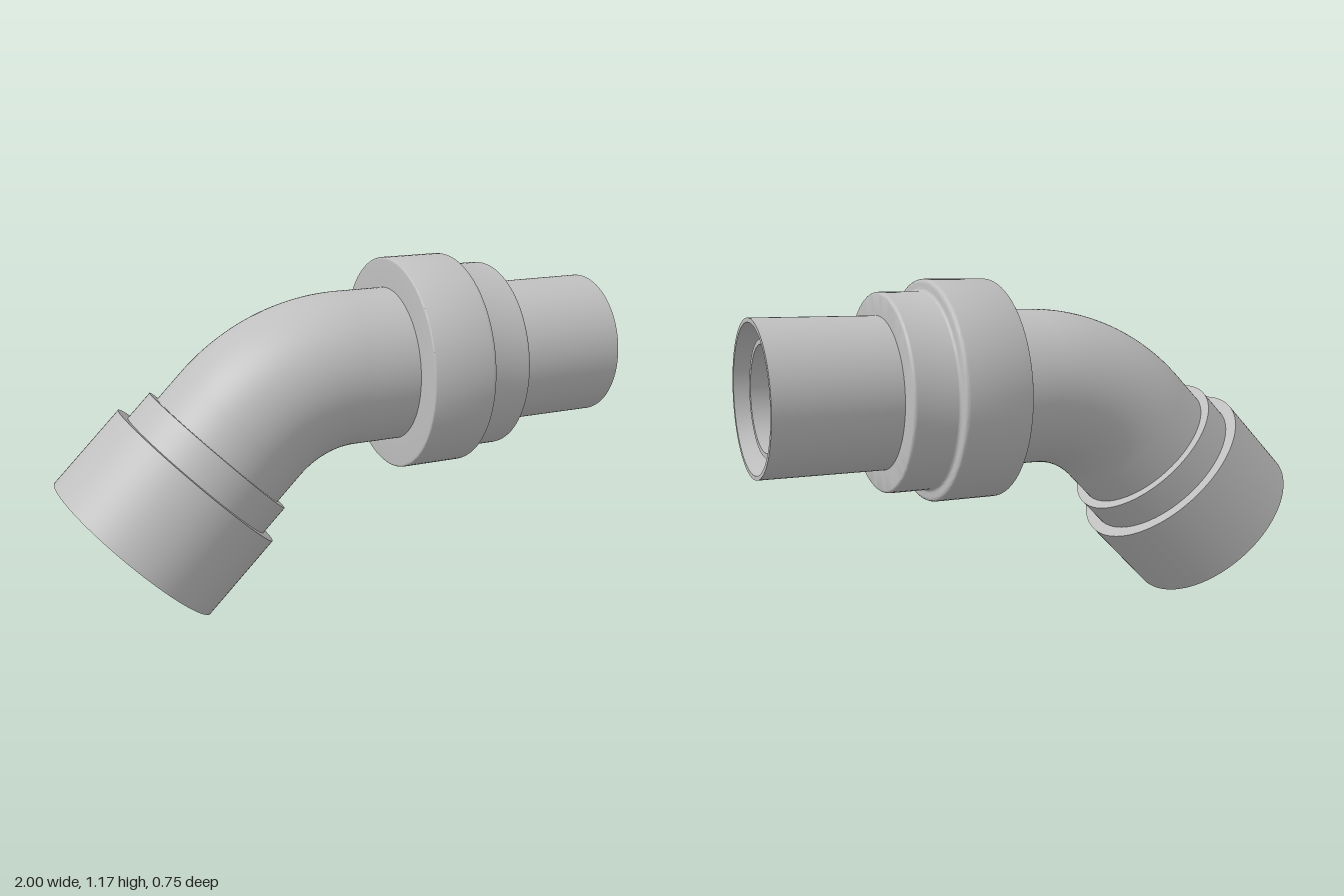
import * as THREE from 'three';
import { toCreasedNormals } from 'three/addons/utils/BufferGeometryUtils.js';

const SEG = 96;
const AXIS_Y = 0.8;      // height of the straight run
const BEND_X = 0.02;     // where the bend begins
const BEND_R = 0.543;    // centreline radius of the bend
const PIPE_R = 0.27;
const BORE_R = 0.173;

// Quarter-round between a and b; the corner is the control point
function round(a, corner, b, steps = 5) {
  const curve = new THREE.QuadraticBezierCurve(
    new THREE.Vector2(...a), new THREE.Vector2(...corner), new THREE.Vector2(...b));
  return curve.getPoints(steps).map((p) => [p.x, p.y]);
}

export function createModel() {
  const model = new THREE.Group();
  const grey = new THREE.MeshStandardMaterial({ color: 0xbfbfbf, side: THREE.DoubleSide });
  grey.name = 'plain grey';

  function add(parent, name, geometry) {
    const mesh = new THREE.Mesh(geometry, grey);
    mesh.name = name;
    parent.add(mesh);
    return mesh;
  }
  // Turned part from [radius, distance along axis] pairs
  function turned(parent, name, profile) {
    const points = profile.map(([r, h]) => new THREE.Vector2(r, h));
    return add(parent, name, toCreasedNormals(new THREE.LatheGeometry(points, SEG), 0.6));
  }

  // Straight run, its axis along +x
  const straight = new THREE.Group();
  straight.name = 'straightRun';
  straight.position.y = AXIS_Y;
  straight.rotation.z = -Math.PI / 2;
  model.add(straight);

  turned(straight, 'straightPipe', [[PIPE_R, BEND_X], [PIPE_R, 0.19]]);

  turned(straight, 'collar', [
    [PIPE_R, 0.19],
    ...round([0.367, 0.19], [0.375, 0.19], [0.375, 0.198]),
    ...round([0.375, 0.408], [0.375, 0.424], [0.359, 0.424]),
    ...round([0.347, 0.424], [0.333, 0.424], [0.333, 0.438]),
    ...round([0.333, 0.568], [0.333, 0.58], [0.321, 0.58]),
    [0.256, 0.58],
  ]);

  // Spigot with a tapered groove in its end and the inner bore
  turned(straight, 'spigot', [
    [0.256, 0.58], [0.256, 1], [0.242, 1], [0.225, 0.92],
    [0.205, 0.92], [0.19, 0.96], [BORE_R, 0.96], [BORE_R, BEND_X],
  ]);

  // 45 degree bend, outside and bore
  for (const [name, r] of [['bend', PIPE_R], ['bendBore', BORE_R]]) {
    const part = add(model, name, new THREE.TorusGeometry(BEND_R, r, SEG, 32, Math.PI / 4));
    part.rotation.z = Math.PI / 2;
    part.position.set(BEND_X, AXIS_Y - BEND_R, 0);
  }

  // Socket end, its axis running down and to the side from the end of the bend
  const socketEnd = new THREE.Group();
  socketEnd.name = 'socketEnd';
  const k = Math.SQRT1_2 * BEND_R;
  socketEnd.position.set(BEND_X - k, AXIS_Y - BEND_R + k, 0);
  socketEnd.rotation.z = Math.PI * 0.75;
  model.add(socketEnd);

  turned(socketEnd, 'socketNeck', [[PIPE_R, 0], [PIPE_R, 0.12]]);
  turned(socketEnd, 'socketStep', [[PIPE_R, 0.12], [0.303, 0.12], [0.303, 0.232]]);
  turned(socketEnd, 'socket', [
    [0.303, 0.232], [0.345, 0.232], [0.345, 0.557], [0.325, 0.557],
    [0.315, 0.27], [0.25, 0.27], [0.25, 0.06], [BORE_R, 0.06], [BORE_R, 0],
  ]);

  return model;
}
